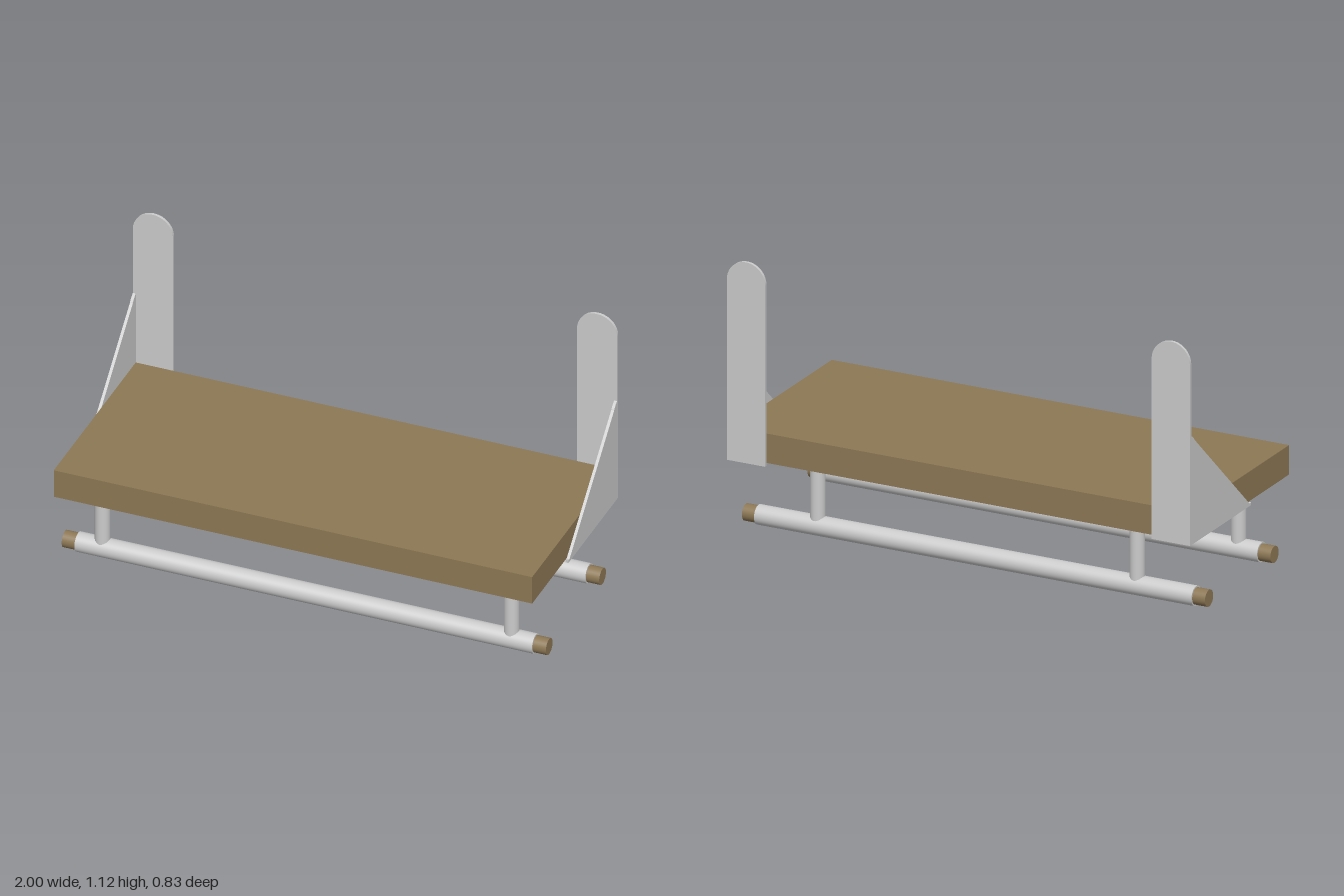
import * as THREE from 'three';

const wood = new THREE.MeshStandardMaterial({ color: 0x8d7855 });
wood.name = 'wood';
const metal = new THREE.MeshStandardMaterial({ color: 0xcbcbcb });
metal.name = 'metal';

const PLATE = 0.012;

function add(parent, name, geometry, material, x = 0, y = 0, z = 0) {
  const mesh = new THREE.Mesh(geometry, material);
  mesh.name = name;
  mesh.position.set(x, y, z);
  parent.add(mesh);
  return mesh;
}

const extrude = (shape) =>
  new THREE.ExtrudeGeometry(shape, { depth: PLATE, bevelEnabled: false, curveSegments: 24 });

// Tall back plate with a semicircular top
function backPlateGeometry() {
  const r = 0.0825;
  const s = new THREE.Shape();
  s.moveTo(-r, 0.305);
  s.lineTo(r, 0.305);
  s.lineTo(r, 1.125 - r);
  s.absarc(0, 1.125 - r, r, 0, Math.PI, false);
  s.closePath();
  return extrude(s);
}

// Side gusset with a flowing edge, drawn in (-z, y) and turned to face sideways
function sidePlateGeometry() {
  const edge = [
    [0.405, 0.75], [0.378, 0.727], [0.355, 0.672], [0.327, 0.605], [0.28, 0.532],
    [0.22, 0.475], [0.16, 0.437], [0.11, 0.405], [0.07, 0.366], [0.035, 0.331],
    [0, 0.314], [-0.03, 0.311], [-0.083, 0.317],
  ].map(([x, y]) => new THREE.Vector2(x, y));
  const s = new THREE.Shape();
  s.moveTo(-0.083, 0.305);
  s.lineTo(0.417, 0.305);
  s.lineTo(0.417, 0.75);
  s.lineTo(0.405, 0.75);
  s.setFromPoints([...s.getPoints(), ...new THREE.SplineCurve(edge).getPoints(48).slice(1)]);
  return extrude(s).rotateY(Math.PI / 2);
}

export function createModel() {
  const model = new THREE.Group();
  model.name = 'shelf';

  // Thick board
  add(model, 'board', new THREE.BoxGeometry(1.976, 0.12, 0.822), wood, 0, 0.377, 0.006);

  // Corner brackets at the back
  const backPlate = backPlateGeometry();
  const sidePlate = sidePlateGeometry();
  for (const side of [-1, 1]) {
    const bracket = new THREE.Group();
    bracket.name = side > 0 ? 'leftBracket' : 'rightBracket';
    add(bracket, 'backPlate', backPlate, metal, side * 0.9175, 0, -0.417);
    add(bracket, 'sidePlate', sidePlate, metal, side > 0 ? 0.988 : -1, 0, 0);
    model.add(bracket);
  }

  // Hanging rails with their posts and wooden end plugs
  const rail = new THREE.CylinderGeometry(0.04, 0.04, 1.89, 40).rotateZ(Math.PI / 2);
  const plug = new THREE.CylinderGeometry(0.034, 0.034, 0.07, 32).rotateZ(Math.PI / 2);
  const post = new THREE.CylinderGeometry(0.03, 0.03, 0.273, 32);
  for (const [name, z, postX] of [['frontRail', 0.275, 0.845], ['backRail', -0.26, 0.69]]) {
    const group = new THREE.Group();
    group.name = name;
    add(group, 'rail', rail, metal, 0, 0.04, z);
    for (const side of [-1, 1]) {
      add(group, 'post', post, metal, side * postX, 0.1805, z);
      add(group, 'endPlug', plug, wood, side * 0.965, 0.04, z);
    }
    model.add(group);
  }
  return model;
}
